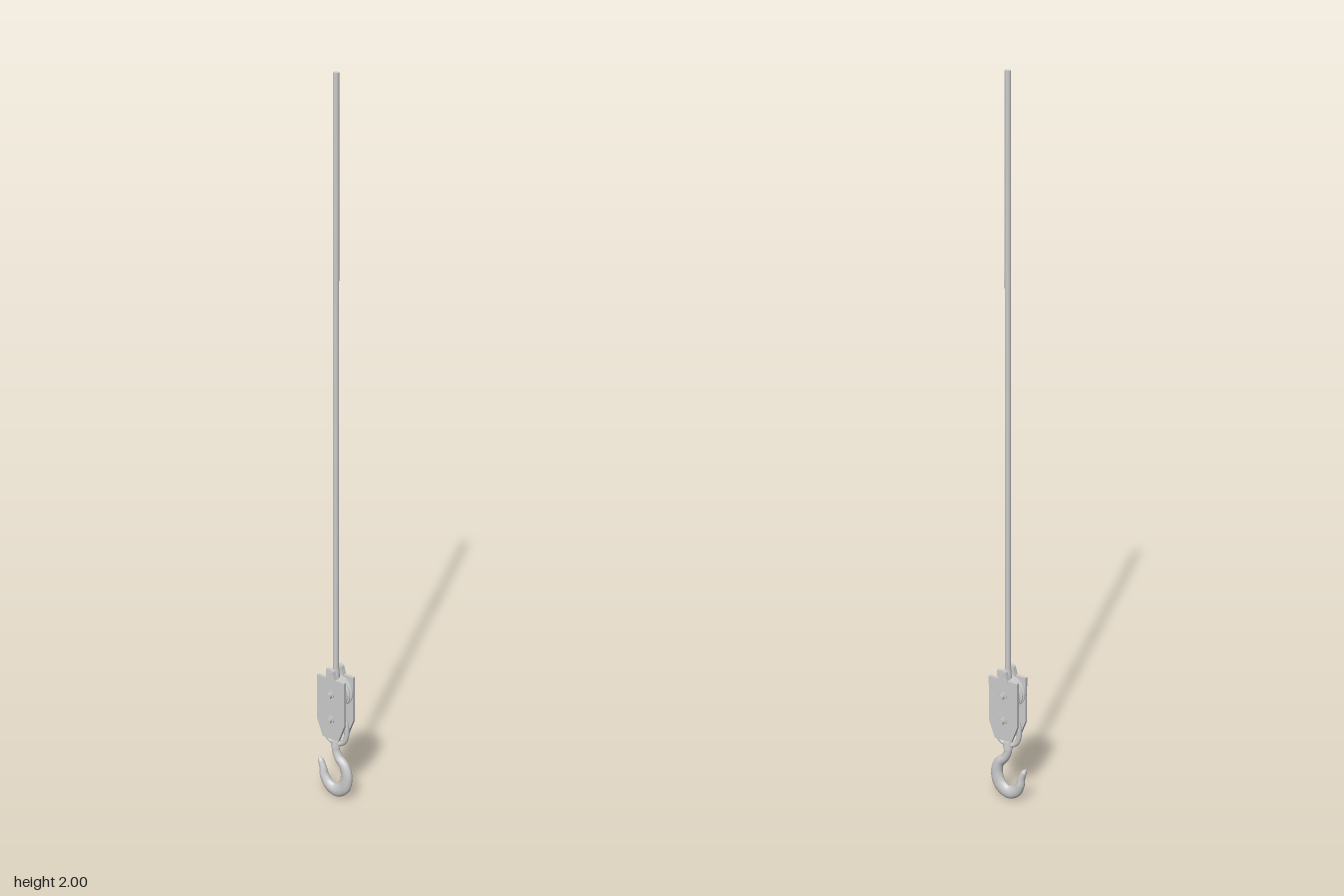
import * as THREE from 'three';

const material = new THREE.MeshStandardMaterial({ color: 0xcccccc });

export function createModel() {
  const model = new THREE.Group();
  model.name = 'hoistHook';

  const add = (name, geometry, x = 0, y = 0, z = 0) => {
    const mesh = new THREE.Mesh(geometry, material);
    mesh.name = name;
    mesh.position.set(x, y, z);
    model.add(mesh);
    return mesh;
  };
  // Cylinder lying along z
  const rod = (name, radius, length, y, z = 0, sides = 20) =>
    add(name, new THREE.CylinderGeometry(radius, radius, length, sides).rotateX(Math.PI / 2), 0, y, z);

  // Hanging cable and its end socket
  add('cable', new THREE.CylinderGeometry(0.008, 0.008, 1.635, 16), 0, 1.1825, 0);
  add('cableSocket', new THREE.CylinderGeometry(0.009, 0.011, 0.03, 16), 0, 0.378, 0);

  // Tapered cheek plates with an ear on top
  const plate = new THREE.Shape();
  plate.moveTo(-0.026, 0.19);
  plate.lineTo(0.026, 0.19);
  plate.lineTo(0.045, 0.24);
  plate.lineTo(0.045, 0.372);
  plate.lineTo(-0.045, 0.372);
  plate.lineTo(-0.045, 0.24);
  plate.closePath();
  const ear = new THREE.Shape();
  ear.moveTo(-0.016, 0.366);
  ear.lineTo(0.016, 0.366);
  ear.lineTo(0.009, 0.39);
  ear.absarc(0, 0.39, 0.009, 0, Math.PI, false);
  ear.closePath();
  const plateDepth = 0.009;
  for (const side of [1, -1]) {
    const extrude = (shape, depth) =>
      new THREE.ExtrudeGeometry(shape, { depth, bevelEnabled: false, curveSegments: 12 }).translate(0, 0, -depth / 2);
    add('cheekPlate', extrude(plate, plateDepth), 0, 0, side * 0.0205);
    add('ear', extrude(ear, 0.012), 0, 0, side * 0.02);
    // Bolt heads and washers of both axles
    for (const y of [0.325, 0.25]) {
      rod('washer', 0.012, 0.003, y, side * 0.0265);
      rod('boltHead', 0.009, 0.012, y, side * 0.032, 6);
    }
  }
  rod('sheaveAxle', 0.007, 0.064, 0.325);
  rod('shackleAxle', 0.007, 0.064, 0.25);
  rod('cablePin', 0.004, 0.056, 0.389);

  // Double grooved sheave
  const rim = [
    [0.007, -0.014], [0.046, -0.014], [0.046, -0.011], [0.037, -0.008], [0.037, -0.005], [0.046, -0.0015],
    [0.046, 0.0015], [0.037, 0.005], [0.037, 0.008], [0.046, 0.011], [0.046, 0.014], [0.007, 0.014],
  ].map(([r, h]) => new THREE.Vector2(r, h));
  const sheave = new THREE.LatheGeometry(rim, 40).toNonIndexed();
  sheave.computeVertexNormals();
  add('sheave', sheave.rotateX(Math.PI / 2), 0, 0.325, 0);

  // Closed shackle loop from the lower axle down to the hook
  const loop = new THREE.CatmullRomCurve3([
    [0, 0.258], [0.02, 0.252], [0.033, 0.235], [0.036, 0.205], [0.029, 0.18], [0.013, 0.168],
    [-0.013, 0.168], [-0.029, 0.18], [-0.036, 0.205], [-0.033, 0.235], [-0.02, 0.252],
  ].map(([x, y]) => new THREE.Vector3(x, y, 0)), true);
  add('shackle', new THREE.TubeGeometry(loop, 64, 0.007, 12, true));

  // Swivel collar above the hook
  add('swivelCollar', new THREE.CylinderGeometry(0.012, 0.014, 0.02, 20), 0, 0.166, 0);

  // Hook: a tube whose thickness follows the bend, [x, y, radius]
  const stations = [
    [0, 0.17, 0.011], [0, 0.145, 0.011], [0.009, 0.124, 0.012], [0.028, 0.103, 0.015], [0.036, 0.073, 0.0175],
    [0.026, 0.037, 0.02], [0, 0.02, 0.02], [-0.024, 0.029, 0.017], [-0.039, 0.052, 0.013],
    [-0.044, 0.076, 0.01], [-0.052, 0.096, 0.008], [-0.056, 0.103, 0.003],
  ];
  const path = new THREE.CatmullRomCurve3(stations.map(([x, y]) => new THREE.Vector3(x, y, 0)));
  const rings = 72, sides = 18;
  const hook = new THREE.TubeGeometry(path, rings, 1, sides, false);
  const position = hook.attributes.position;
  const center = new THREE.Vector3(), point = new THREE.Vector3();
  for (let i = 0; i <= rings; i++) {
    path.getPointAt(i / rings, center);
    const t = path.getUtoTmapping(i / rings) * (stations.length - 1);
    const k = Math.min(Math.floor(t), stations.length - 2);
    const radius = THREE.MathUtils.lerp(stations[k][2], stations[k + 1][2], t - k);
    for (let j = 0; j <= sides; j++) {
      const index = i * (sides + 1) + j;
      point.fromBufferAttribute(position, index).sub(center).multiplyScalar(radius);
      point.z *= Math.min(1, 0.0125 / radius);
      point.add(center);
      position.setXYZ(index, point.x, point.y, point.z);
    }
  }
  hook.computeVertexNormals();
  add('hook', hook);
  add('hookTip', new THREE.SphereGeometry(0.0032, 12, 8), -0.056, 0.103, 0);

  return model;
}
